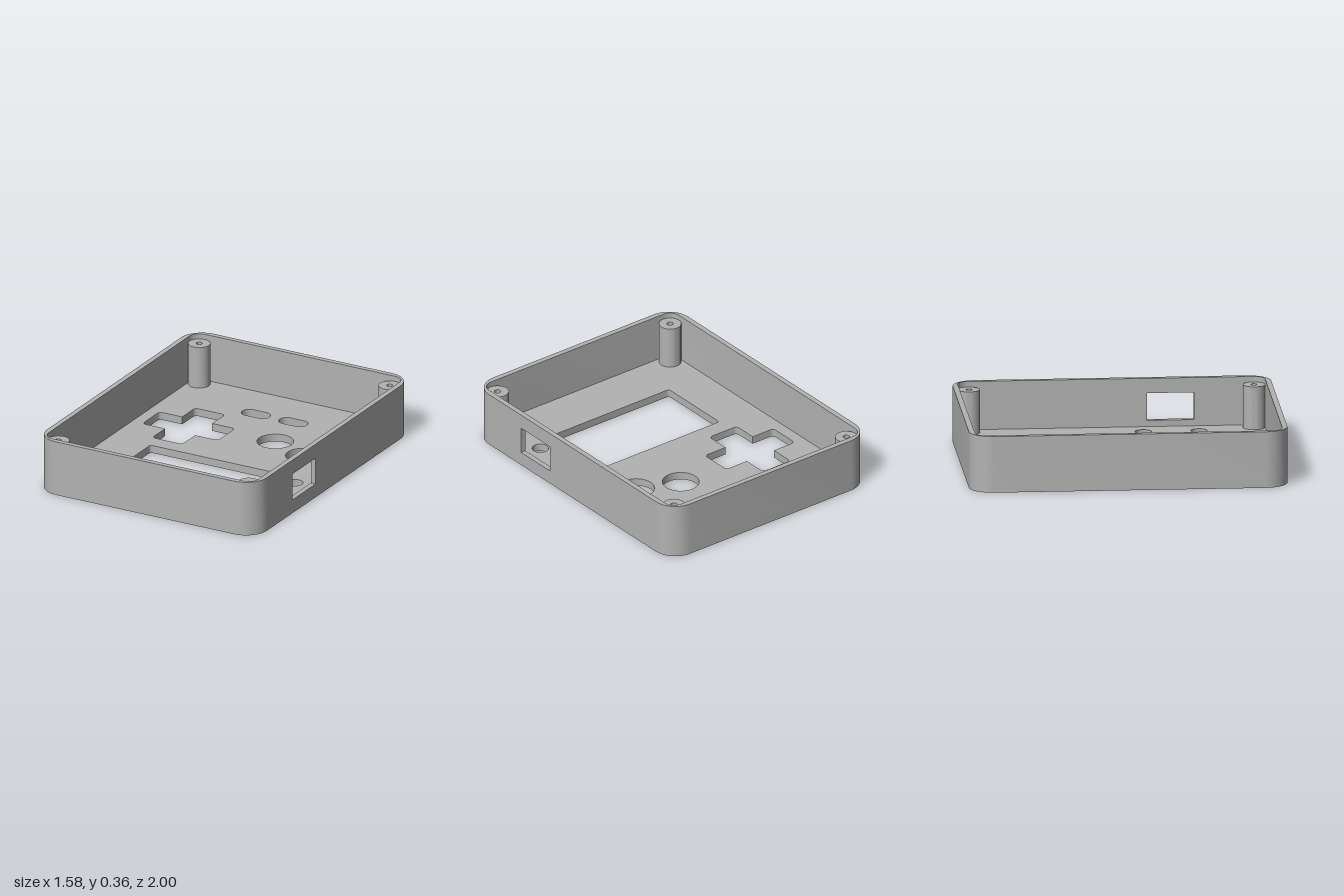
import * as THREE from 'three';
import { toCreasedNormals } from 'three/addons/utils/BufferGeometryUtils.js';

const W = 0.79, D = 1.0, H = 0.36;       // outer half sizes and height
const WALL = 0.035, FLOOR = 0.05;
const R_OUT = 0.15, R_IN = 0.07;
const POST_X = W - WALL - R_IN, POST_Z = D - WALL - R_IN, POST_TOP = 0.325;

// Rounded rectangle outline, from the +x side round through +z, -x and -z
function roundRect(cx, cz, hw, hd, r, steps = 12) {
  const pts = [];
  [[1, 1], [-1, 1], [-1, -1], [1, -1]].forEach(([sx, sz], i) => {
    for (let k = 0; k <= steps; k++) {
      const a = (i + k / steps) * Math.PI / 2;
      pts.push(new THREE.Vector2(cx + sx * (hw - r) + r * Math.cos(a), cz + sz * (hd - r) + r * Math.sin(a)));
    }
  });
  return pts;
}

function circle(cx, cz, r, n = 48) {
  return Array.from({ length: n }, (_, i) => {
    const a = i / n * Math.PI * 2;
    return new THREE.Vector2(cx + r * Math.cos(a), cz + r * Math.sin(a));
  });
}

// Cross outline with rounded arm ends and sharp inner corners
function cross(cx, cz, reach, half, r) {
  const pts = [];
  const centre = new THREE.Vector2();
  for (let arm = 0; arm < 4; arm++) {
    const local = [[half, -half]];
    for (const s of [-1, 1]) {
      for (let k = 0; k <= 6; k++) {
        const a = (s < 0 ? -1 + k / 6 : k / 6) * Math.PI / 2;
        local.push([reach - r + r * Math.cos(a), s * (half - r) + r * Math.sin(a)]);
      }
    }
    for (const [x, z] of local) {
      const p = new THREE.Vector2(x, z).rotateAround(centre, arm * Math.PI / 2);
      pts.push(p.add(new THREE.Vector2(cx, cz)));
    }
  }
  return pts;
}

function extrude(outline, holes, depth) {
  const shape = new THREE.Shape(outline);
  shape.holes = holes.map(h => new THREE.Path(h));
  return new THREE.ExtrudeGeometry(shape, { depth, bevelEnabled: false });
}

// Extrude an (x, z) outline from height y0 to y1
function slab(outline, holes, y0, y1) {
  const geo = extrude(outline, holes, y1 - y0);
  geo.rotateX(Math.PI / 2).translate(0, y1, 0);
  return toCreasedNormals(geo, 0.6);
}

export function createModel() {
  const model = new THREE.Group();
  model.name = 'consoleShell';
  const greyPlastic = new THREE.MeshStandardMaterial({ color: 0xb2b2b2 });
  greyPlastic.name = 'greyPlastic';
  const add = (name, geo) => {
    const mesh = new THREE.Mesh(geo, greyPlastic);
    mesh.name = name;
    model.add(mesh);
    return mesh;
  };

  // Face plate with the screen and button openings
  const openings = [
    roundRect(-0.0025, 0.37, 0.4625, 0.255, 0.018, 6),
    cross(-0.407, -0.27, 0.272, 0.108, 0.025),
    roundRect(-0.137, -0.648, 0.098, 0.051, 0.0505),
    roundRect(0.132, -0.648, 0.098, 0.051, 0.0505),
    circle(0.185, -0.325, 0.115),
    circle(0.453, -0.215, 0.115),
    circle(0.62, 0.195, 0.052),
    circle(0.62, 0.545, 0.052),
  ];
  const outer = roundRect(0, 0, W, D, R_OUT);
  add('facePlate', slab(outer, openings, 0, FLOOR));

  // Wall round three sides and all corners
  const inner = roundRect(0, 0, W - WALL, D - WALL, R_IN).reverse();
  const end = D - R_OUT;
  const wall = [
    ...outer,
    new THREE.Vector2(W - WALL, -end),
    ...inner,
    new THREE.Vector2(W - WALL, end),
  ];
  add('wall', slab(wall, [], FLOOR, H));

  // Straight left wall with the port opening
  const v = (z, y) => new THREE.Vector2(-z, y);
  const panel = extrude(
    [v(end, FLOOR), v(-end, FLOOR), v(-end, H), v(end, H)],
    [[v(0.525, 0.09), v(0.23, 0.09), v(0.23, 0.265), v(0.525, 0.265)]],
    WALL,
  );
  panel.rotateY(Math.PI / 2).translate(W - WALL, 0, 0);
  add('portWall', panel);

  // Corner screw posts, set just below the rim
  const post = slab(circle(0, 0, R_IN), [circle(0, 0, 0.02, 24)], FLOOR, POST_TOP);
  for (const sx of [-1, 1]) {
    for (const sz of [-1, 1]) {
      add('screwPost', post).position.set(sx * POST_X, 0, sz * POST_Z);
    }
  }
  return model;
}
